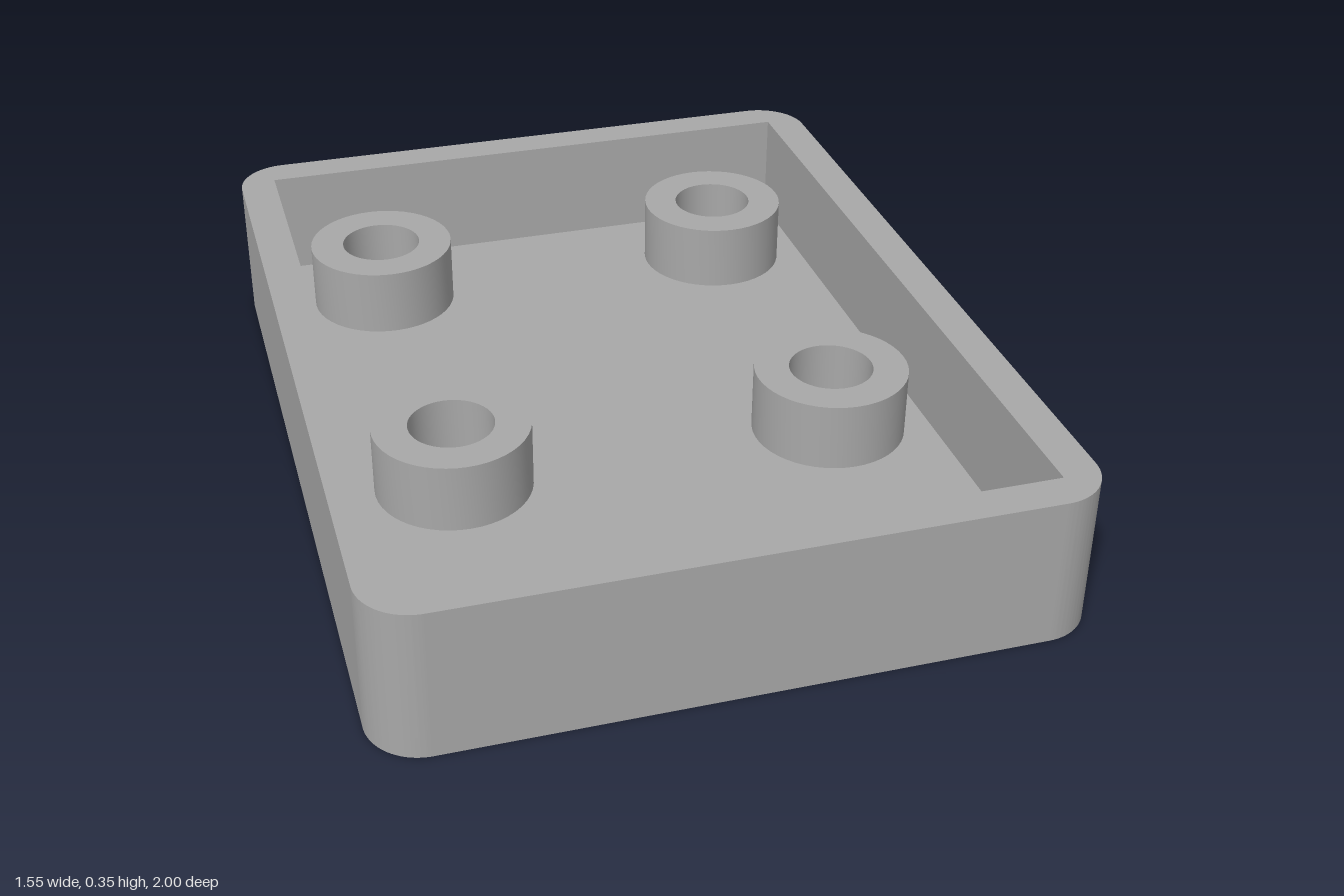
import * as THREE from 'three';
import { toCreasedNormals } from 'three/addons/utils/BufferGeometryUtils.js';

const W = 0.775, D = 1, H = 0.35;      // outer half width, half depth, height
const IW = 0.687, ID = 0.913;          // cavity half width, half depth
const FLOOR = 0.087, BOSS_TOP = 0.25;
const CORNER = 0.12, BOSS_R = 0.18, HOLE_R = 0.098;
const BOSSES = [[-0.45, -0.68], [0.45, -0.68], [-0.45, 0.22], [0.45, 0.22]];
const SEG = 24;

function outerShape() {
  const s = new THREE.Shape(), x = W - CORNER, y = D - CORNER, q = Math.PI / 2;
  s.absarc(x, y, CORNER, 0, q);
  s.absarc(-x, y, CORNER, q, 2 * q);
  s.absarc(-x, -y, CORNER, 2 * q, 3 * q);
  s.absarc(x, -y, CORNER, 3 * q, 4 * q);
  s.closePath();
  return s;
}

function innerShape() {
  return new THREE.Shape([[IW, -ID], [IW, ID], [-IW, ID], [-IW, -ID]].map(p => new THREE.Vector2(...p)));
}

// Cuts a round opening at every boss position
function withHoles(shape, r) {
  for (const [x, z] of BOSSES) {
    const h = new THREE.Path();
    h.absarc(x, -z, r, 0, Math.PI * 2, true);
    shape.holes.push(h);
  }
  return shape;
}

// Horizontal face at height y, facing up or down
function flat(shape, y, down = false) {
  const g = new THREE.ShapeGeometry(shape, SEG);
  if (down) {
    const ix = g.index;
    for (let i = 0; i < ix.count; i += 3) {
      const b = ix.getX(i + 1);
      ix.setX(i + 1, ix.getX(i + 2));
      ix.setX(i + 2, b);
    }
    g.computeVertexNormals();
  }
  return g.rotateX(-Math.PI / 2).translate(0, y, 0);
}

// Vertical wall following a closed outline
function wall(shape, y0, y1, inward = false) {
  const pts = shape.getPoints(SEG);
  if (pts[0].distanceTo(pts[pts.length - 1]) < 1e-5) pts.pop();
  if (inward) pts.reverse();
  const pos = [];
  pts.forEach((a, i) => {
    const b = pts[(i + 1) % pts.length];
    pos.push(a.x, y0, -a.y, b.x, y0, -b.y, b.x, y1, -b.y);
    pos.push(a.x, y0, -a.y, b.x, y1, -b.y, a.x, y1, -a.y);
  });
  const g = new THREE.BufferGeometry();
  g.setAttribute('position', new THREE.Float32BufferAttribute(pos, 3));
  g.computeVertexNormals();
  return toCreasedNormals(g, Math.PI / 6);
}

export function createModel() {
  const group = new THREE.Group();
  group.name = 'mountingTray';
  const grey = new THREE.MeshStandardMaterial({ color: 0xa8a8a8 });
  grey.name = 'grey';
  const add = (name, geometry) => {
    const m = new THREE.Mesh(geometry, grey);
    m.name = name;
    group.add(m);
    return m;
  };

  // Tray body
  const rim = outerShape();
  rim.holes.push(innerShape());
  add('outerWall', wall(outerShape(), 0, H));
  add('innerWall', wall(innerShape(), FLOOR, H, true));
  add('rim', flat(rim, H));
  add('floor', flat(withHoles(innerShape(), BOSS_R), FLOOR));
  add('underside', flat(withHoles(outerShape(), HOLE_R), 0, true));

  // Hollow bosses, bored right through the floor
  const profile = [[BOSS_R, FLOOR], [BOSS_R, BOSS_TOP], [HOLE_R, BOSS_TOP], [HOLE_R, 0]]
    .map(p => new THREE.Vector2(...p));
  const boss = toCreasedNormals(new THREE.LatheGeometry(profile, SEG * 2), Math.PI / 6);
  for (const [x, z] of BOSSES) add('boss', boss).position.set(x, 0, z);

  return group;
}
